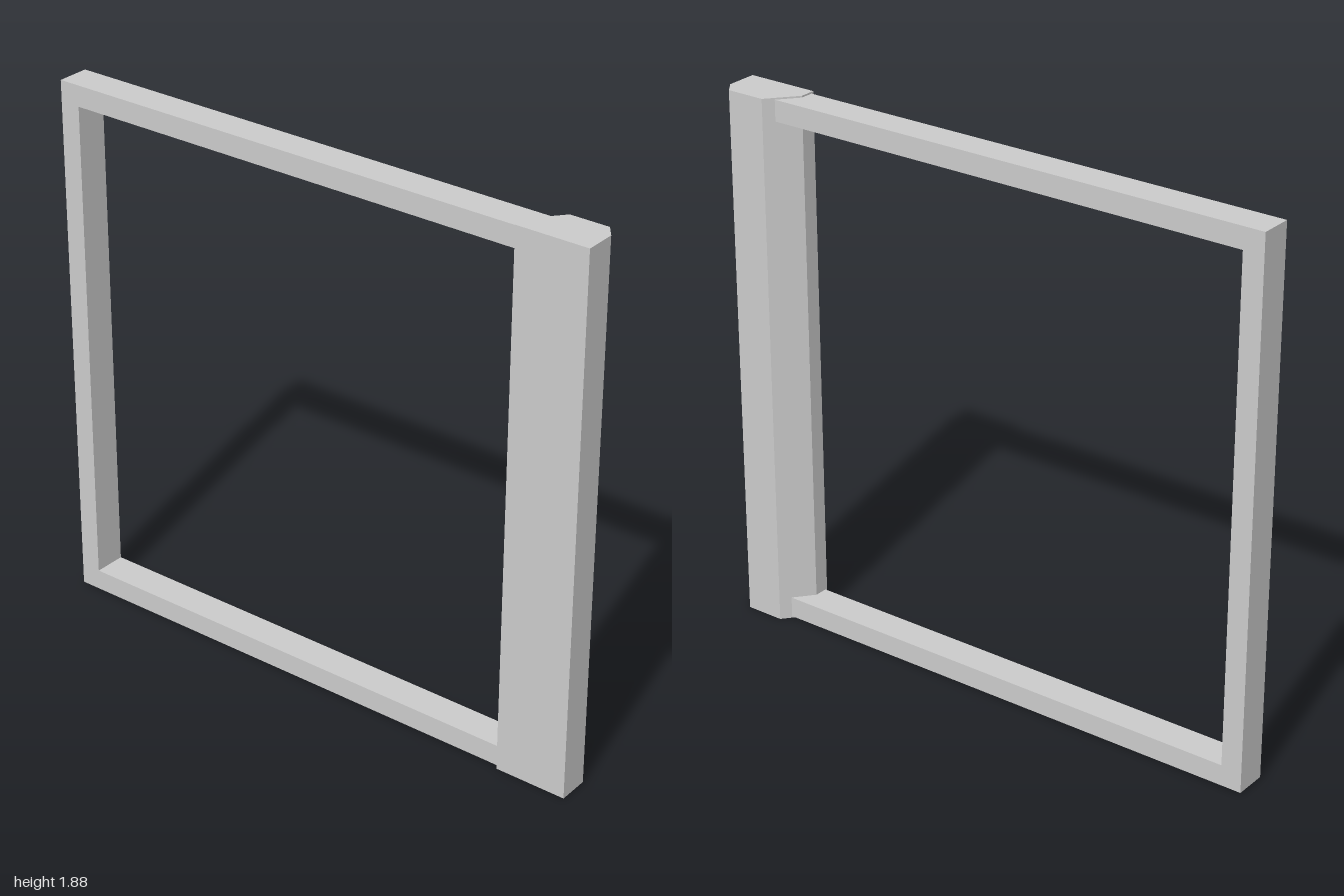
import * as THREE from 'three';

const HEIGHT = 1.885;
const SWING = 0.2391; // angle of the whole frame about the vertical

const material = new THREE.MeshStandardMaterial({ color: 0xcccccc, flatShading: true });

function extrude(name, points, depth) {
  const shape = new THREE.Shape(points.map(([x, y]) => new THREE.Vector2(x, y)));
  const geometry = new THREE.ExtrudeGeometry(shape, { depth, bevelEnabled: false });
  const mesh = new THREE.Mesh(geometry, material);
  mesh.name = name;
  return mesh;
}

export function createModel() {
  const model = new THREE.Group();
  model.name = 'angledFrame';

  // Three-sided frame: side bar with top and bottom rails that run into the post
  const left = -1.016, right = 0.85, bar = 0.073;
  const low = 0.006, high = HEIGHT - 0.006;
  const frame = extrude('frame', [
    [left, low], [right, low], [right, low + bar], [left + bar, low + bar],
    [left + bar, high - bar], [right, high - bar], [right, high], [left, high],
  ], 0.114);
  frame.position.z = -0.047;
  model.add(frame);

  // Upright post: plan outline (x, distance towards the back), raised to full height
  const post = extrude('post', [
    [0.755, -0.076], [1.011, -0.076], [1.009, 0.034],
    [0.975, 0.079], [0.837, 0.079], [0.755, -0.02],
  ], HEIGHT);
  post.geometry.rotateX(-Math.PI / 2);
  model.add(post);

  model.rotation.y = SWING;
  return model;
}
